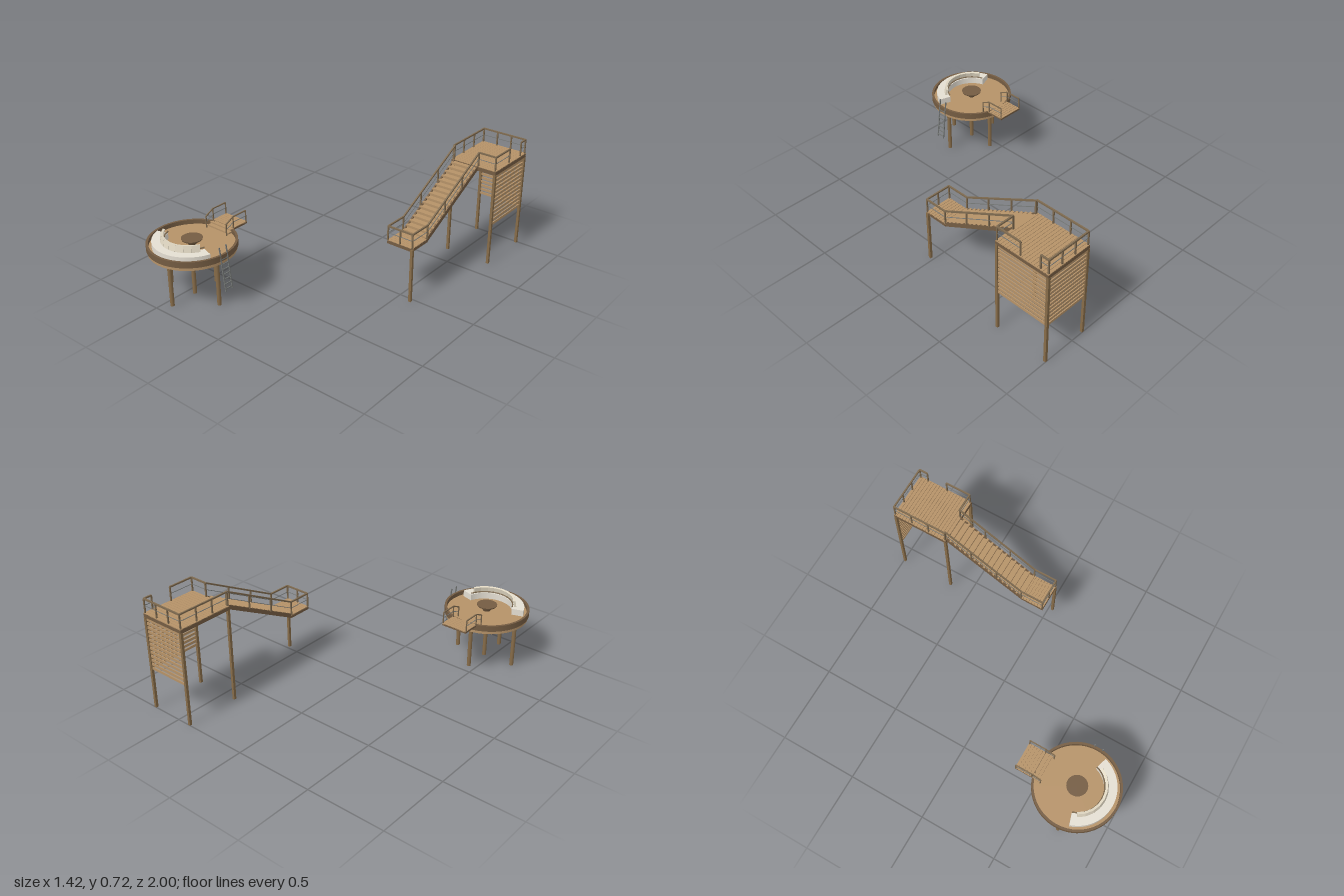
import * as THREE from 'three';
import { toCreasedNormals } from 'three/addons/utils/BufferGeometryUtils.js';

const mat = (name, color) => Object.assign(new THREE.MeshStandardMaterial({ color }), { name });

export function createModel() {
  const model = new THREE.Group();
  const deckWood = mat('deck wood', 0xb59268);
  const postWood = mat('post wood', 0x866b48);
  const darkWood = mat('dark wood', 0x745c42);
  const railWood = mat('rail wood', 0x7e6a4f);
  const metal = mat('metal', 0x747775);
  const fabric = mat('fabric', 0xe4ded2);
  const cushionFabric = mat('cushion fabric', 0xe2d9c4);

  const group = (name, parent = model) => {
    const g = new THREE.Group();
    g.name = name;
    parent.add(g);
    return g;
  };
  const add = (parent, name, geo, material, x = 0, y = 0, z = 0) => {
    const m = new THREE.Mesh(geo, material);
    m.name = name;
    m.position.set(x, y, z);
    parent.add(m);
    return m;
  };
  // Box given by its minimum and maximum corners
  const box = (parent, name, material, [x0, y0, z0], [x1, y1, z1]) =>
    add(parent, name, new THREE.BoxGeometry(x1 - x0, y1 - y0, z1 - z0), material,
      (x0 + x1) / 2, (y0 + y1) / 2, (z0 + z1) / 2);
  // Square bar running between two points
  const bar = (parent, name, material, a, b, w, h = w) => {
    const p = new THREE.Vector3(...a), q = new THREE.Vector3(...b);
    const m = add(parent, name, new THREE.BoxGeometry(w, h, p.distanceTo(q)), material);
    m.position.copy(p).add(q).multiplyScalar(0.5);
    m.lookAt(q);
    return m;
  };
  // Railing along a floor line: top rail, thin metal middle rail and evenly spaced posts
  const railing = (parent, a, b, height, bays, w = 0.009) => {
    const up = (p, d) => [p[0], p[1] + d, p[2]];
    bar(parent, 'topRail', railWood, up(a, height), up(b, height), w);
    bar(parent, 'middleRail', metal, up(a, height * 0.52), up(b, height * 0.52), 0.003);
    for (let i = 0; i <= bays; i++) {
      const p = a.map((v, k) => v + (b[k] - v) * i / bays);
      bar(parent, 'railPost', railWood, p, up(p, height), w * 0.9);
    }
  };
  // Deck of narrow grooved boards inside a dark edge frame
  const boardedDeck = (parent, [x0, z0], [x1, z1], top, depth, count) => {
    const e = 0.012;
    for (const x of [x0, x1 - e])
      box(parent, 'deckSideBeam', darkWood, [x, top - depth, z0], [x + e, top - 0.003, z1]);
    for (const z of [z0, z1 - e])
      box(parent, 'deckEndBeam', darkWood, [x0 + e, top - depth, z], [x1 - e, top - 0.003, z + e]);
    box(parent, 'deckBase', deckWood, [x0 + e, top - 0.012, z0 + e], [x1 - e, top - 0.006, z1 - e]);
    const pitch = (z1 - z0) / count;
    for (let i = 0; i < count; i++)
      box(parent, 'deckBoard', deckWood, [x0, top - 0.006, z0 + i * pitch], [x1, top, z0 + (i + 1) * pitch - 0.002]);
  };

  // ---- Round lounge platform ----
  const lounge = group('roundLounge');
  lounge.position.set(-0.45, 0, 0.737);
  const lathe = (pts) => toCreasedNormals(
    new THREE.LatheGeometry(pts.map(p => new THREE.Vector2(...p)), 64), 0.6);
  add(lounge, 'platformBase', new THREE.CylinderGeometry(0.257, 0.257, 0.02, 64), deckWood, 0, 0.305, 0);
  add(lounge, 'platformRim', lathe([[0.24, 0.315], [0.263, 0.315], [0.263, 0.352], [0.249, 0.352], [0.249, 0.315]]), darkWood);
  add(lounge, 'platformFloor', new THREE.CylinderGeometry(0.25, 0.25, 0.01, 64), deckWood, 0, 0.32, 0);
  for (const [x, z] of [[0, 0], [0.203, 0], [-0.203, 0], [0, 0.177], [0, -0.177]])
    add(lounge, 'platformLeg', new THREE.CylinderGeometry(0.0125, 0.0125, 0.297, 16), postWood, x, 0.1485, z + 0.008);

  // Centre table
  add(lounge, 'tableTop', new THREE.CylinderGeometry(0.063, 0.06, 0.008, 40), darkWood, 0, 0.362, 0);
  add(lounge, 'tableStem', new THREE.CylinderGeometry(0.04, 0.022, 0.035, 24), darkWood, 0, 0.341, 0);

  // Curved sofa: arc-shaped seat, thin back rail and tilted cushions
  const from = -Math.PI + 0.3, to = -0.3;
  const seat = new THREE.Shape();
  seat.absarc(0, 0, 0.23, from, to, false);
  seat.absarc(0, 0, 0.157, to, from, true);
  const seatGeo = new THREE.ExtrudeGeometry(seat, { depth: 0.04, bevelEnabled: false, curveSegments: 32 });
  seatGeo.rotateX(-Math.PI / 2);
  add(lounge, 'sofaSeat', toCreasedNormals(seatGeo, 0.5), fabric, 0, 0.325, 0);
  const backRail = add(lounge, 'sofaBackRail',
    new THREE.TorusGeometry(0.157, 0.004, 8, 40, to - from), railWood, 0, 0.375, 0);
  backRail.rotation.set(Math.PI / 2, 0, 0.3);
  for (let i = 0; i < 8; i++) {
    const t = 0.48 + (i + 0.5) * (Math.PI - 0.96) / 8;
    const holder = group('sofaCushion', lounge);
    holder.rotation.y = Math.PI / 2 - t;
    const c = add(holder, 'cushion', new THREE.BoxGeometry(0.046, 0.044, 0.014), cushionFabric, 0, 0.383, 0.169);
    c.rotation.x = -0.2;
  }

  // Boarding deck with steps and sloping side rails
  const boarding = group('boardingDeck');
  boardedDeck(boarding, [-0.533, 0.375], [-0.364, 0.487], 0.354, 0.014, 6);
  box(boarding, 'upperStep', deckWood, [-0.533, 0.344, 0.487], [-0.364, 0.352, 0.512]);
  box(boarding, 'lowerStep', deckWood, [-0.533, 0.328, 0.5], [-0.364, 0.338, 0.53]);
  for (const x of [-0.533, -0.367]) {
    railing(boarding, [x, 0.352, 0.38], [x, 0.352, 0.485], 0.074, 1, 0.0065);
    bar(boarding, 'slopingRail', railWood, [x, 0.426, 0.485], [x, 0.398, 0.543], 0.0065);
    bar(boarding, 'slopingMiddleRail', metal, [x, 0.39, 0.485], [x, 0.364, 0.543], 0.003);
    bar(boarding, 'endPost', railWood, [x, 0.325, 0.543], [x, 0.398, 0.543], 0.006);
  }

  // Leaning ladder on the platform edge
  const ladder = group('ladder');
  const ladderX = y => -0.163 - (y - 0.13) * 0.126;
  for (const z of [0.715, 0.767])
    bar(ladder, 'ladderRail', metal, [ladderX(0.13), 0.13, z], [ladderX(0.4), 0.4, z], 0.006);
  for (let y = 0.145; y < 0.33; y += 0.03)
    bar(ladder, 'ladderRung', metal, [ladderX(y), y, 0.715], [ladderX(y), y, 0.767], 0.005);

  // ---- Tower ----
  const tower = group('tower');
  const X0 = 0.411, X1 = 0.704, Z0 = -0.993, Z1 = -0.643, TOP = 0.625;
  for (const x of [X0, X1])
    for (const z of [Z0, Z1])
      box(tower, 'towerPost', postWood, [x - 0.008, 0, z - 0.008], [x + 0.008, 0.6, z + 0.008]);
  boardedDeck(tower, [X0 - 0.007, Z0 - 0.007], [X1 + 0.007, Z1 + 0.007], TOP, 0.027, 18);
  // Joists under the deck
  for (let i = 1; i < 7; i++) {
    const x = X0 + (X1 - X0) * i / 7;
    box(tower, 'deckJoist', postWood, [x - 0.004, 0.6, Z0], [x + 0.004, 0.614, Z1]);
  }
  // Horizontal screen slats at the back and the left side
  for (let i = 0; i < 13; i++) {
    const y = 0.261 + i * 0.0265;
    box(tower, 'backSlat', deckWood, [X0, y, Z0 - 0.003], [X1, y + 0.016, Z0 + 0.003]);
    box(tower, 'sideSlat', deckWood, [X1 - 0.003, y, Z0], [X1 + 0.003, y + 0.016, Z1]);
  }
  // Tower railings, with a gap on the left side
  const H = 0.088;
  railing(tower, [X0, TOP, Z0], [X1, TOP, Z0], H, 3);
  railing(tower, [X0, TOP, Z0], [X0, TOP, Z1], H, 3);
  railing(tower, [X1, TOP, Z0], [X1, TOP, -0.94], H, 1);
  railing(tower, [X1, TOP, -0.805], [X1, TOP, Z1], H, 1);
  railing(tower, [0.588, TOP, Z1], [X1, TOP, Z1], H, 1);

  // ---- Stairs and lower landing ----
  const stairs = group('stairs');
  const SX0 = 0.418, SX1 = 0.587, LZ = -0.122, LY = 0.35, N = 16;
  const run = (Z1 - LZ) / N, rise = (TOP - LY) / N;
  for (let i = 0; i < N; i++) {
    const z = LZ + i * run, y = LY + (i + 0.6) * rise;
    box(stairs, 'tread', deckWood, [SX0, y - 0.015, z + run], [SX1, y, z + 0.004]);
  }
  for (const x of [SX0 + 0.004, SX1 - 0.004])
    bar(stairs, 'stringer', darkWood, [x, LY - 0.008, LZ], [x, TOP - 0.009, Z1], 0.01, 0.025);
  boardedDeck(stairs, [SX0 - 0.002, LZ - 0.003], [SX1 + 0.002, 0.03], LY, 0.022, 8);
  box(stairs, 'landingPost', postWood, [SX1 - 0.009, 0, 0.017], [SX1 + 0.007, 0.342, 0.033]);
  for (const x of [SX0, SX1]) {
    railing(stairs, [x, LY, 0.026], [x, LY, LZ], H, 1);
    railing(stairs, [x, LY, LZ], [x, TOP, Z1], H, 3);
  }
  railing(stairs, [SX0, LY, 0.026], [SX1, LY, 0.026], H, 2);

  return model;
}
